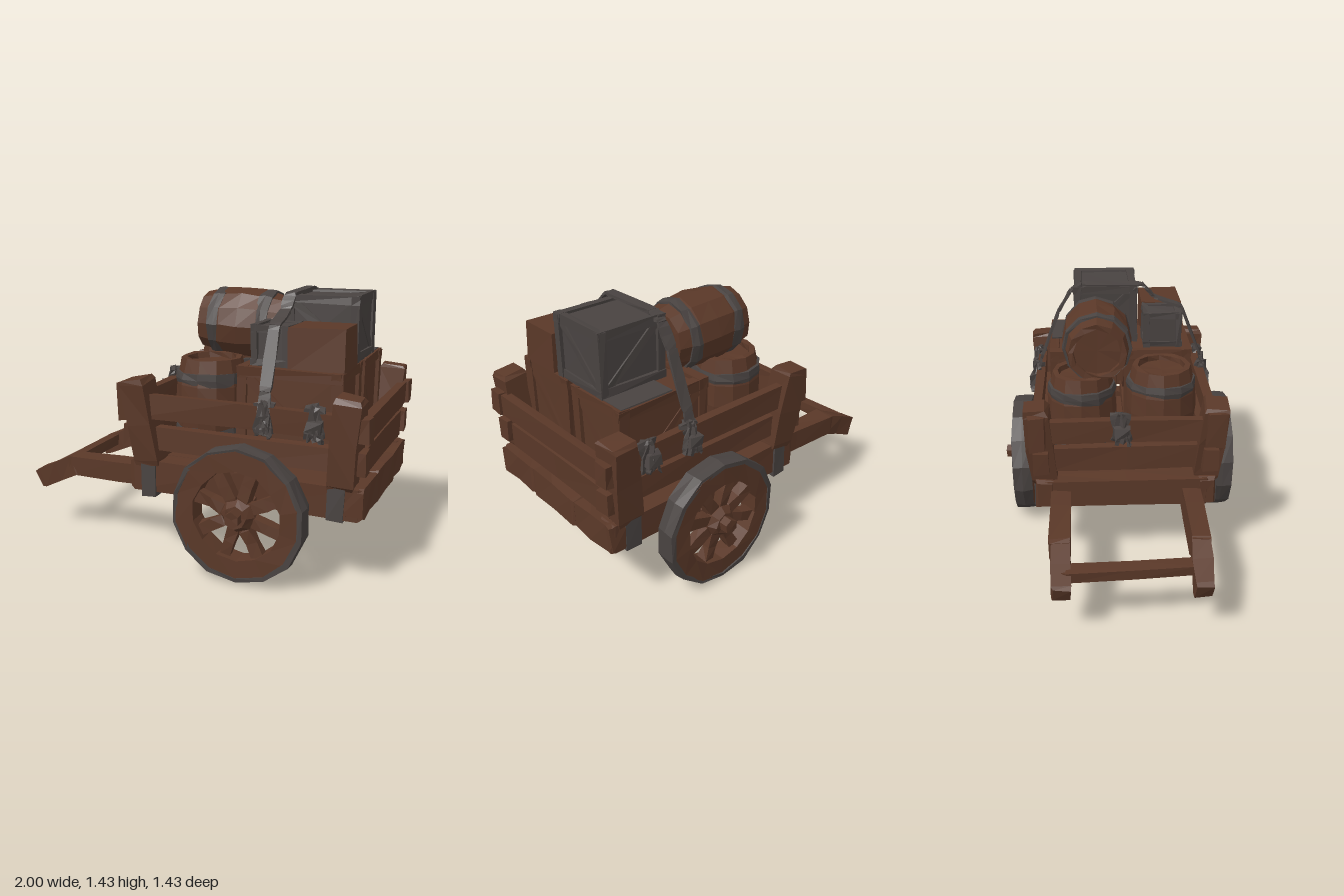
import * as THREE from 'three';

const wood = new THREE.MeshStandardMaterial({ color: 0x5a3828 });
wood.name = 'brown wood';
const iron = new THREE.MeshStandardMaterial({ color: 0x494341 });
iron.name = 'dark grey';

// Repeatable value in -1..1 from a position, so shared corners move together
let seed = 1;
function noise(x, y, z, k) {
  const s = Math.sin(Math.round(x * 1e4) * 0.0127 + Math.round(y * 1e4) * 0.0783 + Math.round(z * 1e4) * 0.0377 + k * 37.7 + seed * 11.3) * 43758.5453;
  return (s - Math.floor(s)) * 2 - 1;
}

// Hand-hewn, faceted finish
function facet(geometry, amount) {
  seed++;
  const p = geometry.attributes.position;
  for (let i = 0; i < p.count; i++) {
    const [x, y, z] = [p.getX(i), p.getY(i), p.getZ(i)];
    p.setXYZ(i, x + noise(x, y, z, 1) * amount, y + noise(x, y, z, 2) * amount, z + noise(x, y, z, 3) * amount);
  }
  const flat = geometry.toNonIndexed();
  flat.computeVertexNormals();
  return flat;
}

function add(parent, name, geometry, material) {
  const mesh = new THREE.Mesh(geometry, material);
  mesh.name = name;
  parent.add(mesh);
  return mesh;
}

// Timber from a to b, with worn, narrowed ends; h is measured along up
function beam(parent, name, a, b, w, h, material = wood, rough = 0.006, up = [0, 1, 0]) {
  const start = new THREE.Vector3(...a), end = new THREE.Vector3(...b);
  const len = start.distanceTo(end);
  const g = new THREE.BoxGeometry(w, h, len, 1, 1, 4);
  const p = g.attributes.position;
  const worn = Math.min(0.025, len * 0.2);
  for (let i = 0; i < p.count; i++) {
    const z = p.getZ(i), t = Math.abs(z) / len;
    if (t > 0.4) p.setXY(i, p.getX(i) * 0.86, p.getY(i) * 0.86);
    else if (t > 0.2) p.setZ(i, Math.sign(z) * (len / 2 - worn));
  }
  const mesh = add(parent, name, facet(g, rough), material);
  mesh.position.copy(start).add(end).multiplyScalar(0.5);
  mesh.up.set(...up);
  mesh.lookAt(end);
  return mesh;
}

function box(parent, name, [x, y, z], [w, h, d], material = wood, rough = 0.005) {
  const mesh = add(parent, name, facet(new THREE.BoxGeometry(w, h, d), rough), material);
  mesh.position.set(x, y, z);
  return mesh;
}

function lathe(parent, name, profile, sides, material, rough = 0.004) {
  const g = new THREE.LatheGeometry(profile.map(([r, y]) => new THREE.Vector2(r, y)), sides);
  return add(parent, name, facet(g, rough), material);
}

function ring(parent, name, inner, outer, half, sides, material) {
  return lathe(parent, name, [[outer, -half], [outer + 0.006, 0], [outer, half], [inner, half], [inner, -half], [outer, -half]], sides, material);
}

function wheel(side) {
  const g = new THREE.Group();
  g.name = 'wheel';
  ring(g, 'tyre', 0.325, 0.351, 0.056, 14, iron);
  ring(g, 'rim', 0.235, 0.338, 0.054, 14, wood);
  lathe(g, 'hub', [[0, -0.06], [0.06, -0.06], [0.088, -0.03], [0.088, 0.03], [0.06, 0.065], [0, 0.065]], 8, wood);
  for (let i = 0; i < 8; i++) {
    const a = (i + 0.4) * Math.PI / 4, c = Math.cos(a), s = Math.sin(a);
    beam(g, 'spoke', [c * 0.06, 0, s * 0.06], [c * 0.26, 0, s * 0.26], 0.06, 0.055);
  }
  g.rotation.x = side * Math.PI / 2;
  g.position.set(0.38, 0.362, side * 0.6);
  return g;
}

function barrel(half, radius) {
  const g = new THREE.Group();
  g.name = 'barrel';
  const e = radius * 0.82, lip = radius * 0.66;
  lathe(g, 'staves', [[0, -half + 0.03], [lip, -half + 0.03], [lip, -half], [e, -half], [radius * 0.97, -half * 0.45],
    [radius, 0], [radius * 0.97, half * 0.45], [e, half], [lip, half], [lip, half - 0.03], [0, half - 0.03]], 12, wood);
  for (const s of [-1, 1]) ring(g, 'hoop', radius * 0.85, radius * 0.955, 0.035, 12, iron).position.y = s * half * 0.58;
  return g;
}

// Crate with a raised frame and diagonal braces
function crate([x, y, z], [w, h, d], material, t, brace) {
  const g = new THREE.Group();
  g.name = 'crate';
  box(g, 'panels', [0, 0, 0], [w - t * 0.7, h - t * 0.7, d - t * 0.7], material);
  const X = (w - t) / 2, Y = (h - t) / 2, Z = (d - t) / 2;
  for (const a of [-1, 1]) for (const b of [-1, 1]) {
    box(g, 'frameRail', [0, a * Y, b * Z], [w, t, t], material);
    box(g, 'framePost', [a * X, 0, b * Z], [t, h, t], material);
    box(g, 'frameRail', [a * X, b * Y, 0], [t, t, d], material);
  }
  if (brace) for (const s of [-1, 1]) {
    beam(g, 'brace', [s * X, Y, Z], [s * X, -Y, -Z], t * 0.7, t * 0.9, material, 0.003);
    beam(g, 'brace', [-X, Y, s * Z], [X, -Y, s * Z], t * 0.7, t * 0.9, material, 0.003);
  }
  g.position.set(x, y, z);
  return g;
}

// Lashing wrapped round a plank, with loose ends
function knot(x, y, z) {
  const g = new THREE.Group();
  g.name = 'knot';
  for (let i = 0; i < 3; i++) {
    beam(g, 'ropeTurn', [i * 0.022 - 0.03, 0.085, 0], [0.02 - i * 0.022, -0.08, 0.01], 0.022, 0.075, iron, 0.007);
  }
  box(g, 'knotLump', [0, -0.01, 0.03], [0.07, 0.06, 0.045], iron, 0.012);
  beam(g, 'looseEnd', [0.01, 0, 0.035], [0.04, -0.09, 0.04], 0.03, 0.015, iron);
  beam(g, 'looseEnd', [-0.01, 0, 0.035], [-0.03, -0.08, 0.04], 0.03, 0.015, iron);
  g.position.set(x, y, z);
  return g;
}

export function createModel() {
  seed = 1;
  const cart = new THREE.Group();
  cart.name = 'handcart';

  // Bed floor
  for (let i = 0; i < 5; i++) {
    const z = (i - 2) * 0.174;
    box(cart, 'floorBoard', [0.335, 0.46, z], [1.17, 0.08, 0.18], wood, 0.003);
  }

  for (const s of [-1, 1]) {
    // Sills with iron straps
    beam(cart, 'sill', [-0.3, 0.455, s * 0.45], [0.97, 0.455, s * 0.45], 0.1, 0.165);
    box(cart, 'sillBracket', [-0.18, 0.442, s * 0.452], [0.08, 0.195, 0.12], iron);
    box(cart, 'sillBracket', [0.84, 0.45, s * 0.452], [0.09, 0.175, 0.12], iron);

    // Side planks, leaning outward
    beam(cart, 'sidePlank', [-0.27, 0.66, s * 0.455], [0.93, 0.66, s * 0.455], 0.05, 0.125);
    beam(cart, 'sidePlank', [-0.29, 0.835, s * 0.48], [0.93, 0.83, s * 0.48], 0.05, 0.125);

    // Corner posts, square to the bed, with pegs
    beam(cart, 'cornerPost', [-0.19, 0.52, s * 0.45], [-0.255, 0.98, s * 0.485], 0.135, 0.14, wood, 0.008, [1, 0, 0]);
    beam(cart, 'cornerPost', [0.86, 0.52, s * 0.45], [0.895, 0.98, s * 0.485], 0.135, 0.14, wood, 0.008, [1, 0, 0]);
    box(cart, 'postPeg', [0.945, 0.66, s * 0.455], [0.07, 0.12, 0.085]);
    box(cart, 'postPeg', [0.96, 0.825, s * 0.475], [0.07, 0.12, 0.085]);
    box(cart, 'postPeg', [-0.29, 0.665, s * 0.46], [0.08, 0.125, 0.085]);
    box(cart, 'postPeg', [-0.32, 0.85, s * 0.475], [0.07, 0.19, 0.1], wood, 0.012);

    // Pulling shafts with drooping grips
    beam(cart, 'shaft', [-0.1, 0.425, s * 0.36], [-0.76, 0.41, s * 0.36], 0.105, 0.115);
    beam(cart, 'shaftGrip', [-0.7, 0.42, s * 0.36], [-0.975, 0.3, s * 0.352], 0.1, 0.115);

    cart.add(wheel(s));

    // Lashings on the side planks
    for (const x of [0.47, 0.73]) {
      const k = knot(x, 0.84, s * 0.495);
      if (s < 0) k.rotation.y = Math.PI;
      cart.add(k);
    }
  }

  // End beams and end planks
  for (const [z0, z1] of [[-0.5, -0.18], [-0.2, 0.2], [0.18, 0.5]]) {
    beam(cart, 'endBeam', [0.925, 0.455, z0], [0.925, 0.455, z1], 0.11, 0.155, wood, 0.008);
  }
  beam(cart, 'endBeam', [-0.245, 0.455, -0.47], [-0.245, 0.455, 0.47], 0.1, 0.155);
  beam(cart, 'endPlank', [0.93, 0.65, -0.44], [0.93, 0.64, 0.42], 0.05, 0.145);
  beam(cart, 'endPlank', [0.955, 0.825, -0.45], [0.955, 0.825, 0.45], 0.05, 0.12);
  beam(cart, 'endPlank', [-0.23, 0.655, -0.44], [-0.23, 0.655, 0.44], 0.05, 0.14);
  beam(cart, 'endPlank', [-0.265, 0.835, -0.45], [-0.265, 0.835, 0.45], 0.05, 0.13);
  const endKnot = knot(-0.285, 0.86, -0.025);
  endKnot.rotation.y = -Math.PI / 2;
  cart.add(endKnot);

  // Shaft crossbar
  beam(cart, 'crossbar', [-0.885, 0.365, -0.35], [-0.86, 0.365, 0.35], 0.07, 0.06);

  // Axle
  beam(cart, 'axleBeam', [0.38, 0.378, -0.52], [0.38, 0.378, 0.52], 0.11, 0.09);
  const axle = add(cart, 'axle', facet(new THREE.CylinderGeometry(0.042, 0.042, 1.43, 6), 0.004), wood);
  axle.rotation.x = Math.PI / 2;
  axle.position.set(0.38, 0.367, 0);

  // Barrels
  const front = barrel(0.25, 0.2), back = barrel(0.25, 0.195), lying = barrel(0.24, 0.195);
  front.position.set(0.06, 0.825, 0.215);
  back.position.set(-0.01, 0.83, -0.235);
  lying.position.set(0.12, 1.215, -0.145);
  lying.rotation.z = Math.PI / 2 - 0.02;
  cart.add(front, back, lying);

  // Crates
  cart.add(crate([0.555, 0.825, 0.213], [0.55, 0.49, 0.395], wood, 0.055, true));
  cart.add(crate([0.555, 0.825, -0.222], [0.55, 0.49, 0.39], wood, 0.055, true));
  cart.add(crate([0.625, 1.24, -0.085], [0.39, 0.34, 0.37], iron, 0.045, true));
  box(cart, 'smallBox', [0.685, 1.172, 0.255], [0.29, 0.21, 0.235], wood, 0.01);
  cart.add(crate([0.435, 1.172, 0.245], [0.2, 0.21, 0.225], iron, 0.035, false));

  // Loose cloth lying behind the top crate
  box(cart, 'cloth', [0.66, 1.074, -0.34], [0.31, 0.008, 0.14], iron, 0.002);

  // Strap over the load
  const strap = [[0.76, 0.53], [0.97, 0.485], [1.28, 0.365], [1.34, 0.2], [1.415, 0.13], [1.42, -0.22],
    [1.38, -0.29], [1.26, -0.36], [0.97, -0.475], [0.76, -0.53]];
  for (let i = 0; i + 1 < strap.length; i++) {
    const [y0, z0] = strap[i], [y1, z1] = strap[i + 1];
    beam(cart, 'strap', [0.465, y0, z0], [0.465, y1, z1], 0.062, 0.014, iron, 0.003);
  }
  return cart;
}
